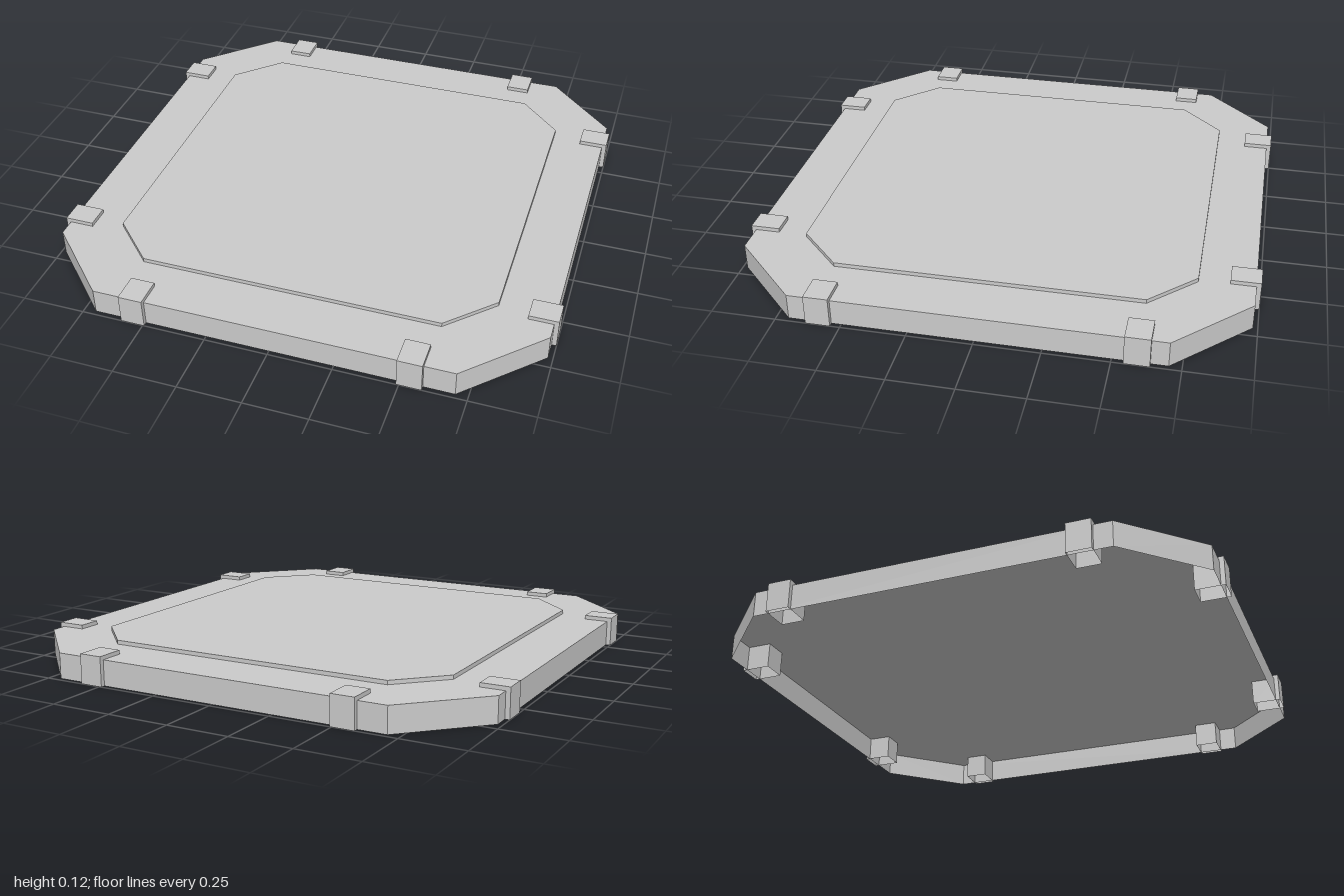
import * as THREE from 'three';

const material = new THREE.MeshStandardMaterial({
  color: 0xcccccc, flatShading: true, side: THREE.DoubleSide,
});

// Square outline with cut corners, as [x, z] points
function cutSquare(half, corner) {
  return [
    [half, corner], [half, -corner], [corner, -half], [-corner, -half],
    [-half, -corner], [-half, corner], [-corner, half], [corner, half],
  ];
}

// Rectangle outline, as [x, z] points
function rectangle(width, depth) {
  const w = width / 2, d = depth / 2;
  return [[w, d], [w, -d], [-w, -d], [-w, d]];
}

// Thin shell over a convex outline: walls and a lid, open underneath
function openShell(name, outline, y0, y1) {
  const positions = [];
  outline.forEach(([ax, az], i) => {
    const [bx, bz] = outline[(i + 1) % outline.length];
    positions.push(ax, y0, az, bx, y0, bz, bx, y1, bz);
    positions.push(ax, y0, az, bx, y1, bz, ax, y1, az);
    positions.push(0, y1, 0, ax, y1, az, bx, y1, bz);
  });
  const geometry = new THREE.BufferGeometry();
  geometry.setAttribute('position', new THREE.Float32BufferAttribute(positions, 3));
  geometry.computeVertexNormals();
  const mesh = new THREE.Mesh(geometry, material);
  mesh.name = name;
  return mesh;
}

export function createModel() {
  const model = new THREE.Group();
  model.name = 'floorPlate';

  // Hollow base plate and the raised panel on it
  const bodyTop = 0.102, top = 0.118;
  model.add(openShell('basePlate', cutSquare(0.982, 0.703), 0, bodyTop));
  model.add(openShell('raisedPanel', cutSquare(0.768, 0.594), bodyTop, top));

  // Two edge clips on each side
  const length = 0.115, width = 0.095, reach = 1 - length / 2;
  for (const side of [-1, 1]) {
    for (const along of [-0.541, 0.537]) {
      const clip = openShell('edgeClip', rectangle(width, length), 0, top);
      clip.position.set(along, 0, side * reach);
      model.add(clip);
    }
    for (const along of [-0.591, 0.585]) {
      const clip = openShell('edgeClip', rectangle(length, width), 0, top);
      clip.position.set(side * reach, 0, along);
      model.add(clip);
    }
  }
  return model;
}
